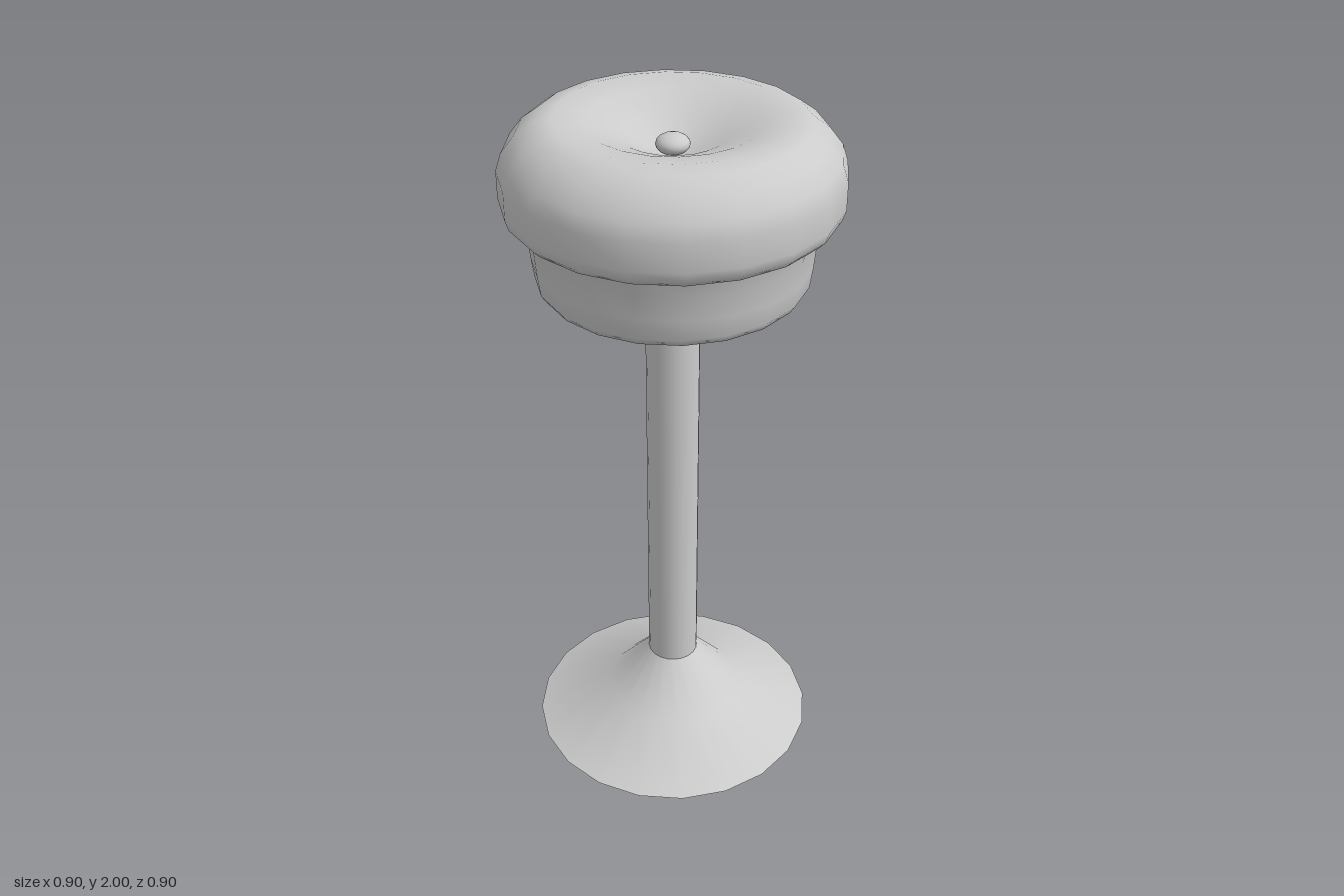
import * as THREE from 'three';

const SIDES = 20;

export function createModel() {
  const model = new THREE.Group();
  const material = new THREE.MeshStandardMaterial({ color: 0xcccccc });

  function add(name, geometry, y = 0) {
    const mesh = new THREE.Mesh(geometry, material);
    mesh.name = name;
    mesh.position.y = y;
    model.add(mesh);
    return mesh;
  }

  // Turned part; the profile is [radius, height] from bottom to top
  function turned(name, profile) {
    const points = profile.map(([r, y]) => new THREE.Vector2(r, y));
    return add(name, new THREE.LatheGeometry(points, SIDES));
  }

  // Flared foot with a flat underside
  turned('base', [[0.425, 0], [0.2, 0.1], [0.075, 0.245]]);
  turned('baseUnderside', [[0, 0], [0.425, 0]]);

  // Straight column
  add('post', new THREE.CylinderGeometry(0.075, 0.075, 1.32, SIDES, 1, true), 0.9);

  // Tapered seat pan with a softened lower edge
  turned('seatPan', [
    [0, 1.54], [0.352, 1.54], [0.367, 1.562], [0.375, 1.62], [0.381, 1.69], [0.4, 1.75],
  ]);

  // Padded cushion, dished towards the middle
  turned('cushion', [
    [0.38, 1.743], [0.425, 1.745], [0.441, 1.762], [0.45, 1.79], [0.45, 1.865],
    [0.435, 1.91], [0.4, 1.955], [0.355, 1.988], [0.305, 2], [0.23, 1.987],
    [0.14, 1.952], [0.06, 1.912], [0, 1.9],
  ]);

  // Upholstery button in the dish
  add('button', new THREE.SphereGeometry(0.045, SIDES, 10), 1.925).scale.y = 0.6;

  return model;
}
